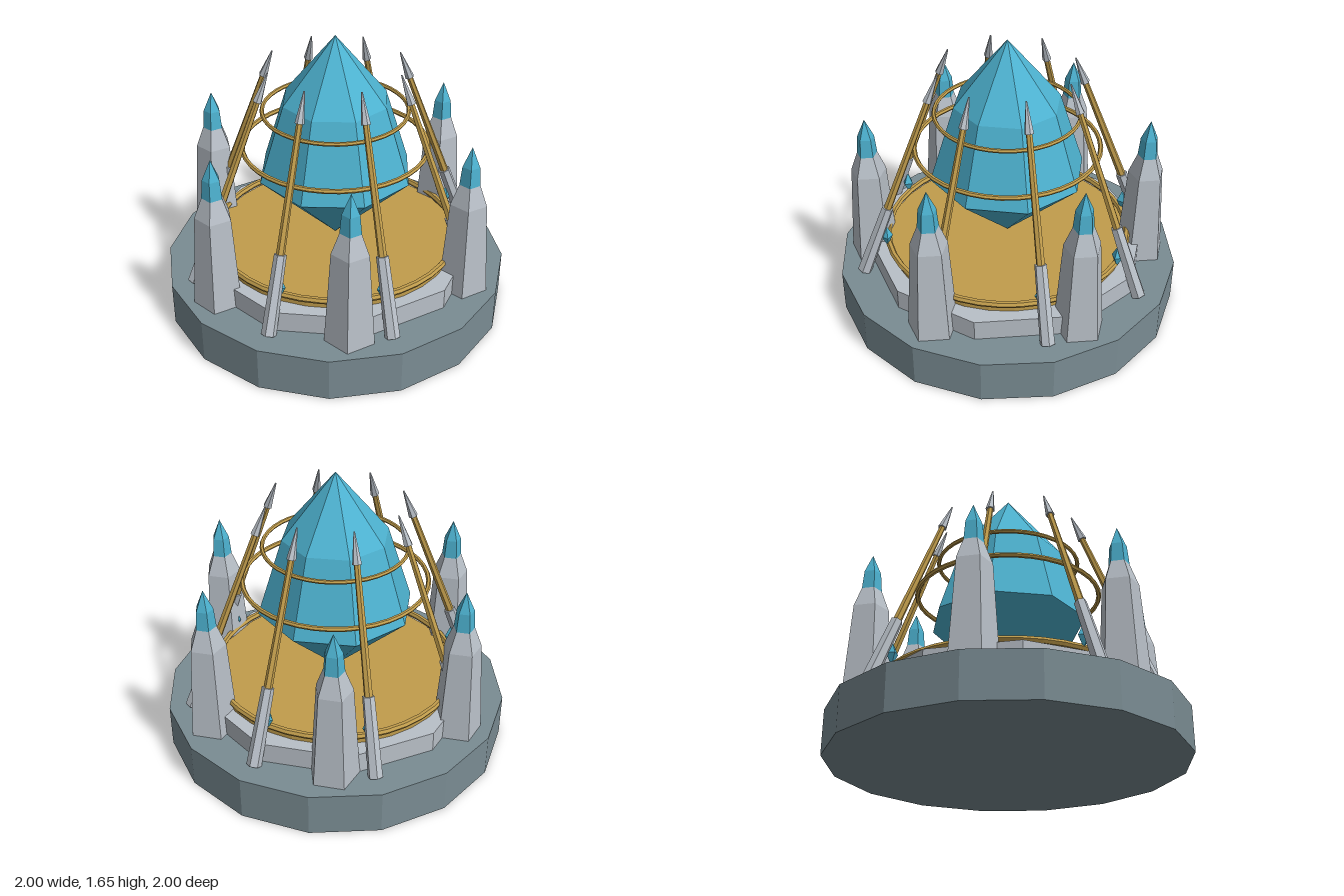
import * as THREE from 'three';

const mat = (name, color) => {
  const m = new THREE.MeshStandardMaterial({ color, flatShading: true });
  m.name = name;
  return m;
};

export function createModel() {
  const slate = mat('slate', 0x7a8c93);
  const stone = mat('pale stone', 0xb9c0c8);
  const gold = mat('gold', 0xc19d4c);
  const crystal = mat('blue crystal', 0x4db2d0);

  const model = new THREE.Group();
  const add = (parent, name, geometry, material) => {
    const mesh = new THREE.Mesh(geometry, material);
    mesh.name = name;
    parent.add(mesh);
    return mesh;
  };
  // Cylinder standing between two heights
  const drum = (parent, name, rTop, rBottom, y0, y1, sides, material) => {
    const mesh = add(parent, name, new THREE.CylinderGeometry(rTop, rBottom, y1 - y0, sides), material);
    mesh.position.y = (y0 + y1) / 2;
    return mesh;
  };
  const lathe = (points, sides) =>
    new THREE.LatheGeometry(points.map(([r, y]) => new THREE.Vector2(r, y)), sides);

  // Stepped platform
  drum(model, 'base', 1, 1, 0, 0.255, 16, slate);
  drum(model, 'upperStep', 0.815, 0.815, 0.255, 0.375, 10, stone);
  drum(model, 'goldFloor', 0.705, 0.705, 0.375, 0.4, 32, gold);

  // Gold rings: radius, height, thickness
  [[0.708, 0.425, 0.019], [0.526, 1.0, 0.014], [0.408, 1.215, 0.012]].forEach(([r, y, t], i) => {
    const ring = add(model, ['floorRing', 'middleRing', 'upperRing'][i],
      new THREE.TorusGeometry(r, t, 6, 40), gold);
    ring.rotation.x = Math.PI / 2;
    ring.position.y = y;
  });

  // Large eight-sided crystal
  add(model, 'greatCrystal', lathe([[0, 0.4], [0.45, 0.83], [0.305, 1.28], [0, 1.655]], 8), crystal);

  // Six five-sided pillars with crystal tips
  for (let i = 0; i < 6; i++) {
    const a = (i * Math.PI) / 3;
    const pillar = new THREE.Group();
    pillar.name = 'pillar';
    add(pillar, 'pillarBody', lathe([[0.143, 0.255], [0.105, 0.81], [0.06, 0.93], [0, 0.93]], 5), stone);
    add(pillar, 'pillarTip', lathe([[0.06, 0.93], [0.05, 1.04], [0, 1.155]], 5), crystal);
    pillar.position.set(0.8 * Math.cos(a), 0, 0.8 * Math.sin(a));
    pillar.rotation.y = Math.PI / 2; // a corner of every pillar faces the same side
    pillar.rotation.y = 0;
    pillar.children.forEach((part) => part.geometry.rotateY(Math.PI / 2));
    model.add(pillar);
  }

  // Eight spears leaning inwards, each with a small gem behind its grip
  const foot = new THREE.Vector2(0.865, 0.262);
  const tip = new THREE.Vector2(0.385, 1.495);
  const length = foot.distanceTo(tip);
  const lean = Math.atan2(foot.x - tip.x, tip.y - foot.y);
  for (let i = 0; i < 8; i++) {
    const arm = new THREE.Group();
    arm.name = 'spearArm';
    arm.rotation.y = (i * Math.PI) / 4;

    const spear = new THREE.Group();
    spear.name = 'spear';
    spear.position.set(0, foot.y, foot.x);
    spear.rotation.x = -lean;
    drum(spear, 'spearGrip', 0.034, 0.042, 0, 0.45, 6, stone);
    drum(spear, 'spearShaft', 0.017, 0.024, 0.45, length - 0.16, 6, gold);
    drum(spear, 'spearHead', 0.004, 0.026, length - 0.17, length, 6, stone);
    arm.add(spear);

    const gem = add(arm, 'gem', new THREE.OctahedronGeometry(1), crystal);
    gem.scale.set(0.035, 0.07, 0.035);
    gem.position.set(0, 0.485, 0.72);
    model.add(arm);
  }

  return model;
}
